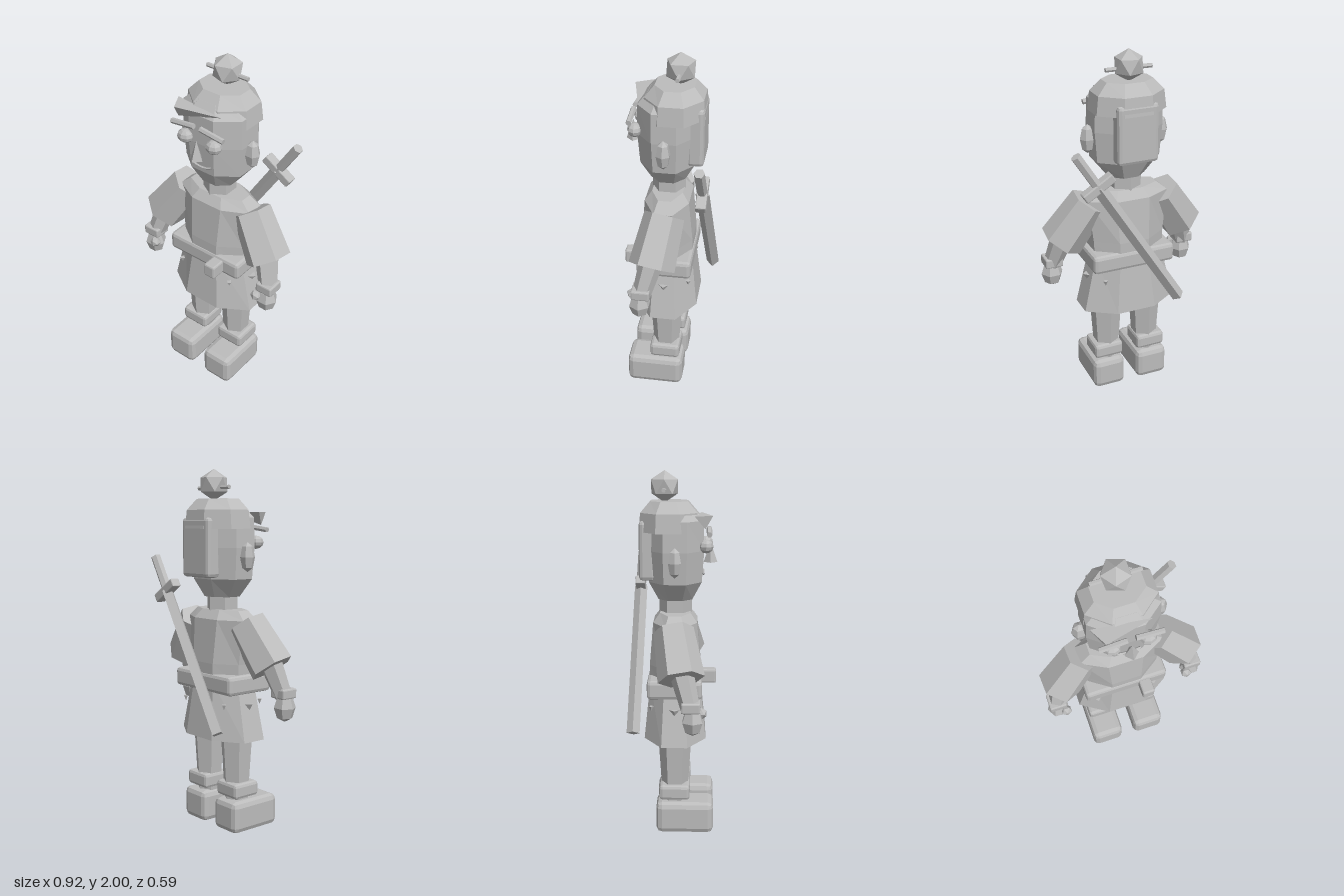
import * as THREE from 'three';
import { RoundedBoxGeometry } from 'three/addons/geometries/RoundedBoxGeometry.js';
import { ConvexGeometry } from 'three/addons/geometries/ConvexGeometry.js';

const V = (x, y, z) => new THREE.Vector3(x, y, z);

export function createModel() {
  const grey = new THREE.MeshStandardMaterial({ color: 0xbcbcbc, flatShading: true });
  grey.name = 'plain grey';
  const model = new THREE.Group();
  model.name = 'swordsman';

  // the whole figure is turned slightly to its right
  const figure = new THREE.Group();
  figure.name = 'figure';
  figure.rotation.y = -0.3;
  figure.position.set(0.027, 0, 0.015);
  model.add(figure);

  function add(name, geometry, x = 0, y = 0, z = 0, parent = figure) {
    const mesh = new THREE.Mesh(geometry, grey);
    mesh.name = name;
    mesh.position.set(x, y, z);
    parent.add(mesh);
    return mesh;
  }

  // eight-sided elliptical body through rings [y, rx, rz], closed at both ends
  function loft(rings) {
    const first = rings[0], last = rings[rings.length - 1];
    const all = [[first[0], 0, 0], ...rings, [last[0], 0, 0]];
    const g = new THREE.LatheGeometry(all.map(r => new THREE.Vector2(r[1], r[0])), 8, Math.PI / 8);
    const p = g.attributes.position;
    for (let i = 0; i < p.count; i++) {
      const r = all[i % all.length];
      if (r[1] > 0) p.setZ(i, p.getZ(i) * r[2] / r[1]);
    }
    return g;
  }

  // chamfered block
  const block = (w, h, d, c) => new RoundedBoxGeometry(w, h, d, 1, c);

  // tapered limb between two points
  function limb(name, a, b, ra, rb, sides = 6) {
    const mesh = add(name, new THREE.CylinderGeometry(ra, rb, a.distanceTo(b), sides));
    mesh.position.copy(a).lerp(b, 0.5);
    mesh.quaternion.setFromUnitVectors(V(0, 1, 0), a.clone().sub(b).normalize());
    return mesh;
  }

  // tunic, belt and neck
  add('skirt', loft([[0.53, 0.295, 0.185], [0.85, 0.215, 0.15]]));
  add('torso', loft([[0.82, 0.22, 0.152], [0.95, 0.225, 0.152], [1.19, 0.255, 0.13], [1.24, 0.19, 0.09]]));
  add('belt', block(0.48, 0.105, 0.3, 0.02), 0, 0.842, 0);
  add('buckle', block(0.07, 0.08, 0.09, 0.01), 0.105, 0.84, 0.185);
  add('neck', new THREE.CylinderGeometry(0.09, 0.09, 0.14, 6), 0, 1.27, 0);

  // head and hair
  add('head', loft([[1.31, 0.11, 0.1], [1.41, 0.195, 0.155], [1.58, 0.21, 0.168], [1.74, 0.205, 0.165], [1.8, 0.14, 0.11]]));
  add('hairCap', loft([[1.68, 0.213, 0.175], [1.78, 0.2, 0.165], [1.84, 0.14, 0.11]]), 0, 0, -0.035);
  add('backHair', block(0.23, 0.32, 0.09, 0.02), 0, 1.58, -0.15);
  add('fringe', new ConvexGeometry([
    V(-0.184, 1.77, 0.104), V(0.12, 1.77, 0.141), V(-0.132, 1.77, 0.2), V(-0.14, 1.7, 0.16),
  ]));
  const knot = new THREE.IcosahedronGeometry(0.085).rotateZ(0.5536);
  add('topknot', knot, 0, 1.915, -0.06);
  add('hairpin', new THREE.CylinderGeometry(0.012, 0.012, 0.26, 6).rotateZ(Math.PI / 2), 0, 1.9, -0.06);

  // nose and mouth
  add('nose', new THREE.ConeGeometry(0.038, 0.11, 4), 0, 1.565, 0.19);
  add('mouth', new THREE.TorusGeometry(0.15, 0.006, 4, 8, 0.88).rotateZ(-Math.PI / 2 - 0.44), 0, 1.595, 0.152);

  for (const s of [1, -1]) {
    const side = s > 0 ? 'left' : 'right';

    // face details
    add(side + 'Eye', new THREE.SphereGeometry(1, 8, 6).scale(0.046, 0.037, 0.04), s * 0.092, 1.605, 0.165);
    const brow = add(side + 'Brow', new THREE.CylinderGeometry(0.015, 0.015, 0.145, 6).rotateZ(Math.PI / 2), s * 0.093, 1.682, 0.182);
    brow.rotation.z = -s * 0.12;
    add(side + 'Ear', new THREE.SphereGeometry(1, 6, 4).scale(0.043, 0.08, 0.04), s * 0.21, 1.53, 0);

    // arms
    limb(side + 'Sleeve', V(s * 0.21, 1.175, -0.005), V(s * 0.365, 0.945, 0.04), 0.108, 0.125);
    limb(side + 'Forearm', V(s * 0.35, 0.98, 0.04), V(s * 0.405, 0.79, 0.09), 0.065, 0.05);
    add(side + 'Wristband', block(0.1, 0.055, 0.1, 0.008), s * 0.405, 0.81, 0.09);
    add(side + 'Hand', new THREE.SphereGeometry(1, 6, 4).scale(0.062, 0.078, 0.06), s * 0.405, 0.728, 0.1);
    add(side + 'Thumb', new THREE.IcosahedronGeometry(0.032), s * 0.365, 0.76, 0.145);

    // legs and boots
    add(side + 'Leg', new THREE.CylinderGeometry(0.097, 0.068, 0.45, 6), s * 0.122, 0.385, 0);
    add(side + 'BootCuff', block(0.17, 0.085, 0.17, 0.018), s * 0.132, 0.238, 0);
    add(side + 'Boot', block(0.19, 0.18, 0.32, 0.032), s * 0.135, 0.09, 0.058);

    // small points hanging from the belt
    add(side + 'SideCharm', new THREE.ConeGeometry(0.03, 0.045, 4).rotateX(Math.PI), s * 0.225, 0.71, 0);
    for (const z of [0.13, -0.13]) {
      add(side + 'Charm', new THREE.ConeGeometry(0.015, 0.03, 4).rotateX(Math.PI), s * 0.17, 0.72, z);
    }
  }

  // sword slung across the back
  const tip = V(-0.232, 0.6, -0.226), end = V(0.352, 1.52, -0.202);
  const at = t => tip.clone().lerp(end, t);
  limb('sheath', at(0.8), tip, 0.036, 0.036, 4);
  limb('swordHandle', end, at(0.78), 0.028, 0.028, 6);
  const guard = add('swordGuard', block(0.19, 0.05, 0.055, 0.006));
  guard.position.copy(at(0.8));
  guard.rotation.z = -Math.atan2(end.x - tip.x, end.y - tip.y);

  return model;
}
